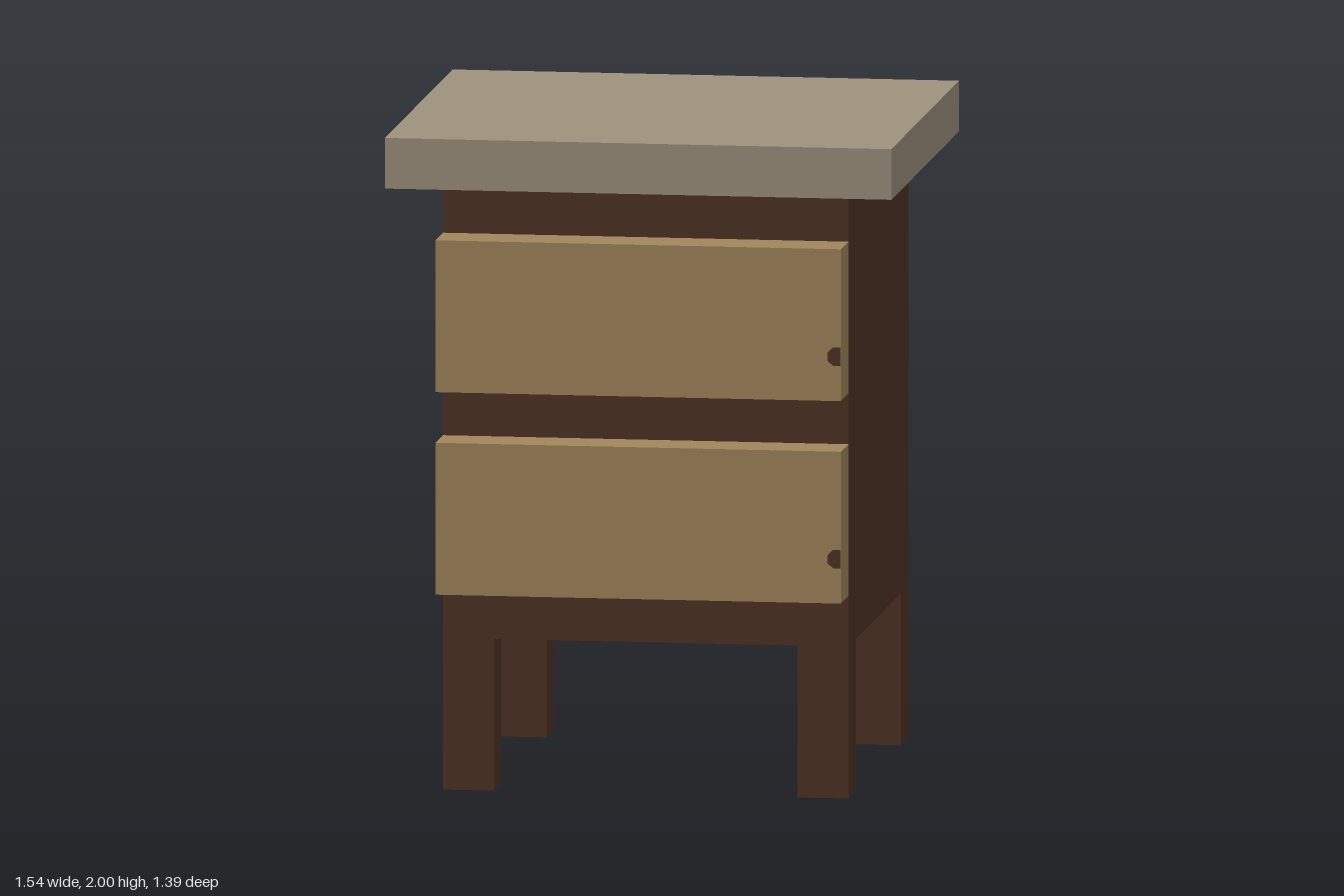
import * as THREE from 'three';

export function createModel() {
  const U = 2 / 13; // one grid unit of the design
  const darkWood = new THREE.MeshStandardMaterial({ name: 'darkWood', color: 0x4e3323 });
  const lightWood = new THREE.MeshStandardMaterial({ name: 'lightWood', color: 0xa1875c });
  const stone = new THREE.MeshStandardMaterial({ name: 'greyTop', color: 0x9e927d });
  const model = new THREE.Group();
  model.name = 'nightstand';

  // Box given by its minimum and maximum corners, in grid units
  function box(name, material, [x0, y0, z0], [x1, y1, z1]) {
    const mesh = new THREE.Mesh(
      new THREE.BoxGeometry((x1 - x0) * U, (y1 - y0) * U, (z1 - z0) * U), material);
    mesh.position.set((x0 + x1) / 2 * U, (y0 + y1) / 2 * U, (z0 + z1) / 2 * U);
    mesh.name = name;
    model.add(mesh);
  }

  // Cabinet and overhanging top
  box('cabinet', darkWood, [-4, 3, -4.5], [4, 12, 3.5]);
  box('tableTop', stone, [-5, 12, -4.5], [5, 13, 4.5]);

  // Four corner legs
  for (const x of [-4, 3])
    for (const z of [-4.5, 2.5]) box('leg', darkWood, [x, 0, z], [x + 1, 3, z + 1]);

  // Flat pull mark, an octagon cut off by the drawer's edge
  const pull = new THREE.Shape([
    [0.615, -0.028], [0.615, 0.028], [0.592, 0.028],
    [0.575, 0.012], [0.575, -0.012], [0.592, -0.028],
  ].map(([x, y]) => new THREE.Vector2(x, y)));
  const pullGeometry = new THREE.ShapeGeometry(pull);

  // Two drawers standing out from the front
  for (const y of [4, 8]) {
    box('drawer', lightWood, [-4, y, 3.5], [4, y + 3, 4.5]);
    const mark = new THREE.Mesh(pullGeometry, darkWood);
    mark.name = 'drawerPull';
    mark.position.set(0, y * U + 0.135, 4.5 * U + 0.002);
    model.add(mark);
  }
  return model;
}
